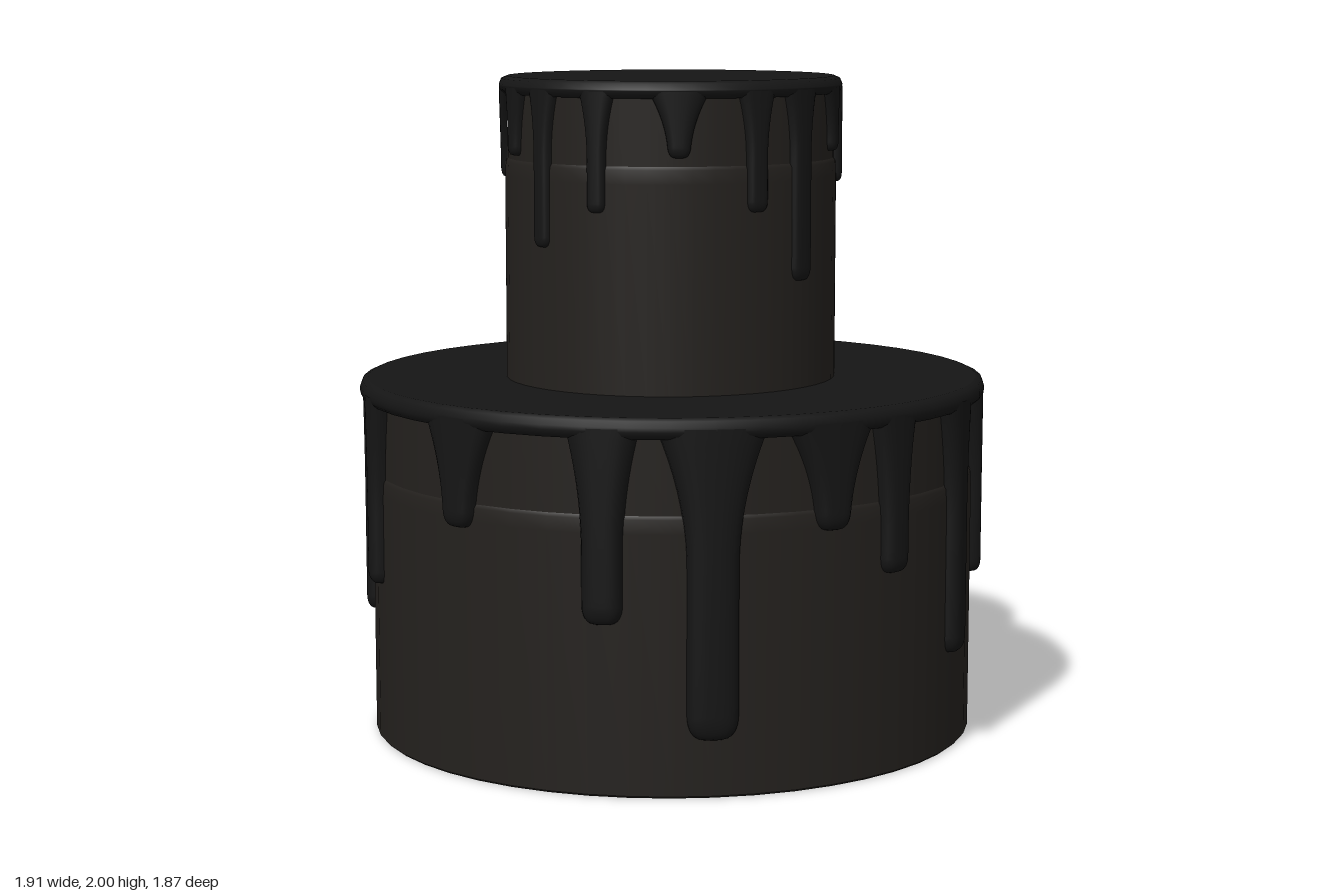
import * as THREE from 'three';

const spongeMat = new THREE.MeshStandardMaterial({ color: 0x24211e });
const icingMat = new THREE.MeshStandardMaterial({ color: 0x151515 });

// Lathe from [radius, height] pairs, bottom to top; a repeated pair makes a sharp edge
function lathe(name, pairs, mat) {
  const pts = pairs.map(([r, y]) => new THREE.Vector2(r, y));
  const mesh = new THREE.Mesh(new THREE.LatheGeometry(pts, 48), mat);
  mesh.name = name;
  return mesh;
}

// One run of icing wrapped on the wall: flared at the rim, rounded at the tip
function drip(inner, outer, top, [angle, tip, halfWidth, flare]) {
  const rows = 26, cols = 12, pos = [], idx = [];
  const capH = halfWidth * 0.9;
  for (let j = 0; j <= rows; j++) {
    // shaft rows first, then closely spaced rows around the tip
    const shaft = Math.min(j / 18, 1);
    const cap = Math.max(0, (j - 18) / 8) * Math.PI / 2;
    const y = top + (tip + capH - top) * shaft - capH * Math.sin(cap);
    const fall = Math.min(1, (top - y) / Math.min(0.32 * outer + flare, top - tip));
    const round = Math.sqrt(Math.max(0, Math.cos(cap)));
    const w = (halfWidth + flare * Math.pow(1 - fall, 2)) * round;
    for (let i = 0; i <= cols; i++) {
      const u = Math.sin((i / cols - 0.5) * Math.PI);
      const bulge = Math.pow(Math.max(0, 1 - u ** 4), 0.5) * round;
      const r = inner - 0.008 + (outer - inner + 0.008) * bulge;
      const a = angle + u * w / outer;
      pos.push(Math.sin(a) * r, y, Math.cos(a) * r);
    }
  }
  for (let j = 0; j < rows; j++) {
    for (let i = 0; i < cols; i++) {
      const a = j * (cols + 1) + i, c = a + cols + 1;
      idx.push(a, c, a + 1, a + 1, c, c + 1);
    }
  }
  const geo = new THREE.BufferGeometry();
  geo.setAttribute('position', new THREE.Float32BufferAttribute(pos, 3));
  geo.setIndex(idx);
  geo.computeVertexNormals();
  const mesh = new THREE.Mesh(geo, icingMat);
  mesh.name = 'icingDrip';
  return mesh;
}

// A tier: cake body with a seam, a rounded icing cap and its drips
function tier(name, { y0, seam, top, rim, inner, outer, drips }) {
  const g = new THREE.Group();
  g.name = name;
  const s = inner - 0.008, e = 0.025;
  g.add(lathe('cakeBody', [
    [0, y0], [inner - 0.006, y0], [inner - 0.006, y0], [inner, y0 + 0.006], [inner, y0 + 0.006],
    [inner, seam - 0.05], [inner - 0.002, seam - 0.01], [s, seam], [s, seam],
    [s, top - 0.03], [s, top - 0.03], [0, top - 0.03],
  ], spongeMat));
  g.add(lathe('icingCap', [
    [s - 0.01, rim], [outer - 0.014, rim], [outer - 0.003, rim + 0.01], [outer, rim + 0.022],
    [outer, top - e], [outer - e * 0.3, top - e * 0.3], [outer - e, top], [outer - e, top], [0, top],
  ], icingMat));
  for (const d of drips) g.add(drip(inner, outer, top - 0.03, d));
  return g;
}

export function createModel() {
  const model = new THREE.Group();
  model.name = 'tieredCake';

  // drips: [angle from the front, tip height, half width, flare at the rim]
  const lower = tier('lowerTier', {
    y0: 0, seam: 0.81, top: 1.09, rim: 1.03, inner: 0.922, outer: 0.957,
    drips: [
      [-0.98, 0.74, 0.055, 0.09], [-0.475, 0.5, 0.062, 0.05], [-0.135, 0.17, 0.078, 0.09],
      [0.255, 0.75, 0.055, 0.1], [0.5, 0.6, 0.05, 0.04], [0.875, 0.3, 0.055, 0.05],
      [1.285, 0.47, 0.04, 0.04], [1.55, 0.42, 0.057, 0.05], [1.975, 0.85, 0.07, 0.12],
      [2.32, 0.57, 0.045, 0.06], [2.67, 0.39, 0.045, 0.05], [3.06, 0.32, 0.052, 0.05],
      [3.57, 0.5, 0.06, 0.2], [4.19, 0.68, 0.05, 0.06], [4.39, 0.34, 0.05, 0.05],
      [4.76, 0.49, 0.04, 0.05],
    ],
  });
  lower.scale.z = 0.975;
  lower.position.z = 0.015;

  const upper = tier('upperTier', {
    y0: 1.06, seam: 1.755, top: 2, rim: 1.95, inner: 0.503, outer: 0.52,
    drips: [
      [-1.1, 1.51, 0.033, 0.03], [-0.7, 1.62, 0.03, 0.03], [-0.207, 1.78, 0.034, 0.06],
      [0.268, 1.62, 0.035, 0.03], [0.61, 1.41, 0.044, 0.03], [1.03, 1.78, 0.028, 0.04],
      [1.28, 1.68, 0.03, 0.025], [1.66, 1.49, 0.028, 0.03], [2.05, 1.61, 0.025, 0.025],
      [2.32, 1.57, 0.036, 0.025], [2.69, 1.85, 0.03, 0.05], [3.1, 1.68, 0.03, 0.04],
      [3.5, 1.58, 0.027, 0.03], [3.8, 1.53, 0.028, 0.03], [4.34, 1.69, 0.035, 0.13],
      [4.86, 1.77, 0.03, 0.04],
    ],
  });
  upper.scale.z = 0.967;
  upper.position.set(-0.013, 0, 0.043);

  model.add(lower, upper);
  return model;
}
